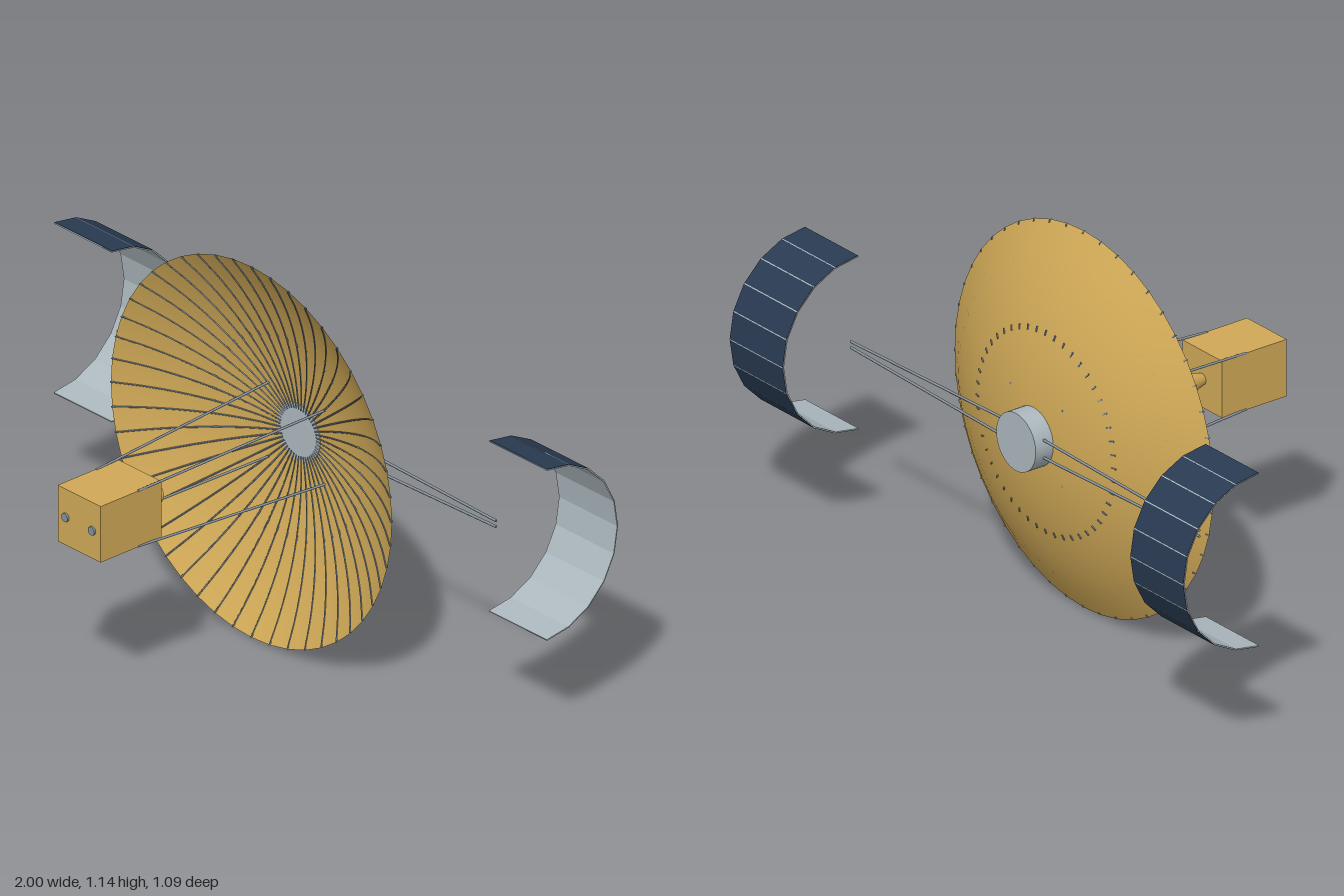
import * as THREE from 'three';

const CY = 0.575;        // height of the main axis
const RIM = 0.57;        // dish radius
const BALL = 0.9925;     // radius of the sphere the dish is cut from
const APEX = -0.277;     // z of the dish centre
const dishZ = r => APEX + BALL - Math.sqrt(BALL * BALL - r * r);

function material(name, color) {
  const m = new THREE.MeshStandardMaterial({ color });
  m.name = name;
  return m;
}

export function createModel() {
  const model = new THREE.Group();
  model.name = 'satellite';
  const gold = material('gold', 0xd0a957);
  gold.side = THREE.DoubleSide;
  const silver = material('silver', 0xacb8be);
  const blue = material('solarBlue', 0x293a52);
  const steel = material('steel', 0x87929c);

  const add = (name, geometry, mat, parent = model) => {
    const mesh = new THREE.Mesh(geometry, mat);
    mesh.name = name;
    parent.add(mesh);
    return mesh;
  };
  // Straight round bar between two points
  const bar = (name, a, b, radius) => {
    const dir = b.clone().sub(a);
    const mesh = add(name, new THREE.CylinderGeometry(radius, radius, dir.length(), 6), steel);
    mesh.position.copy(a).add(b).multiplyScalar(0.5);
    mesh.quaternion.setFromUnitVectors(new THREE.Vector3(0, 1, 0), dir.normalize());
  };
  // Round part along z
  const axial = (name, rFront, rBack, z0, z1, mat, sides) => {
    const mesh = add(name, new THREE.CylinderGeometry(rFront, rBack, z1 - z0, sides), mat);
    mesh.rotation.x = Math.PI / 2;
    mesh.position.set(0, CY, (z0 + z1) / 2);
    return mesh;
  };
  const v = (x, y, z) => new THREE.Vector3(x, y, z);

  // Reflector dish, open to the front
  const profile = [];
  for (let i = 0; i <= 8; i++) {
    const r = Math.max(0.0001, RIM * i / 8);
    profile.push(new THREE.Vector2(r, dishZ(r)));
  }
  const dish = add('dish', new THREE.LatheGeometry(profile, 48), gold);
  dish.rotation.x = Math.PI / 2;
  dish.position.y = CY;

  // Radial ribs on the front face, with small fasteners showing on the back
  const ribs = new THREE.Group();
  ribs.name = 'dishRibs';
  ribs.position.y = CY;
  model.add(ribs);
  const ribPath = new THREE.CatmullRomCurve3(profile.slice(1).map(p => v(p.x, 0, p.y + 0.0032)));
  const ribGeometry = new THREE.TubeGeometry(ribPath, 14, 0.0023, 4);
  for (let i = 0; i < 48; i++) {
    const spoke = new THREE.Group();
    spoke.name = 'ribSpoke';
    spoke.rotation.z = i * Math.PI / 24;
    ribs.add(spoke);
    add('rib', ribGeometry, steel, spoke);
    for (const [r, length] of [[0.3, 0.016], [0.565, 0.008]]) {
      const clip = add('ribFastener', new THREE.BoxGeometry(length, 0.004, 0.004), steel, spoke);
      clip.position.set(r, 0, dishZ(r) - 0.0005);
      clip.rotation.y = -Math.asin(r / BALL);
    }
  }

  // Hub through the dish centre
  axial('hub', 0.087, 0.087, -0.334, -0.271, silver, 32);

  // Instrument box with feed horn and two front sensors
  const box = add('instrumentBox', new THREE.BoxGeometry(0.174, 0.172, 0.225), gold);
  box.position.set(0, CY, 0.4275);
  axial('feedHorn', 0.016, 0.033, 0.257, 0.317, gold, 20);
  for (const s of [-1, 1]) {
    const sensor = axial('sensor', 0.013, 0.013, 0.535, 0.546, steel, 12);
    sensor.position.x = s * 0.054;
  }

  // Four struts carrying the box
  for (const sx of [-1, 1]) {
    for (const sy of [-1, 1]) {
      bar('strut', v(sx * 0.085, CY + sy * 0.085, 0.4), v(sx * 0.114, CY + sy * 0.114, -0.264), 0.004);
    }
  }

  // Curved solar wings, each on a pair of converging booms
  const R = 0.261, WIDTH = 0.235, STEPS = 10;
  const chord = 2 * R * Math.sin(Math.PI / STEPS / 2);
  const inset = R * Math.cos(Math.PI / STEPS / 2);
  const shell = new THREE.BoxGeometry(WIDTH, chord, 0.003);
  const cell = new THREE.BoxGeometry(WIDTH - 0.002, chord - 0.002, 0.0015);
  const seam = new THREE.BoxGeometry(WIDTH, 0.003, 0.003);
  for (const side of [-1, 1]) {
    const wing = new THREE.Group();
    wing.name = side > 0 ? 'leftSolarWing' : 'rightSolarWing';
    wing.position.set(side * (1 - WIDTH / 2), CY, -0.278);
    model.add(wing);
    // Holder turned about the wing axis, i in segments from one end
    const holderAt = i => {
      const holder = new THREE.Group();
      holder.name = 'wingSegment';
      holder.rotation.x = (i / STEPS - 0.5) * Math.PI;
      wing.add(holder);
      return holder;
    };
    for (let i = 0; i < STEPS; i++) {
      const holder = holderAt(i + 0.5);
      add('wingShell', shell, silver, holder).position.z = -inset;
      add('solarCell', cell, blue, holder).position.z = -inset - 0.002;
      if (i > 0) add('wingSeam', seam, silver, holderAt(i)).position.z = -R - 0.0012;
    }
    for (const sy of [-1, 1]) {
      bar('boom', v(side * 0.07, CY + sy * 0.027, -0.302), v(side * 0.768, CY + sy * 0.009, -0.302), 0.004);
    }
  }
  return model;
}
